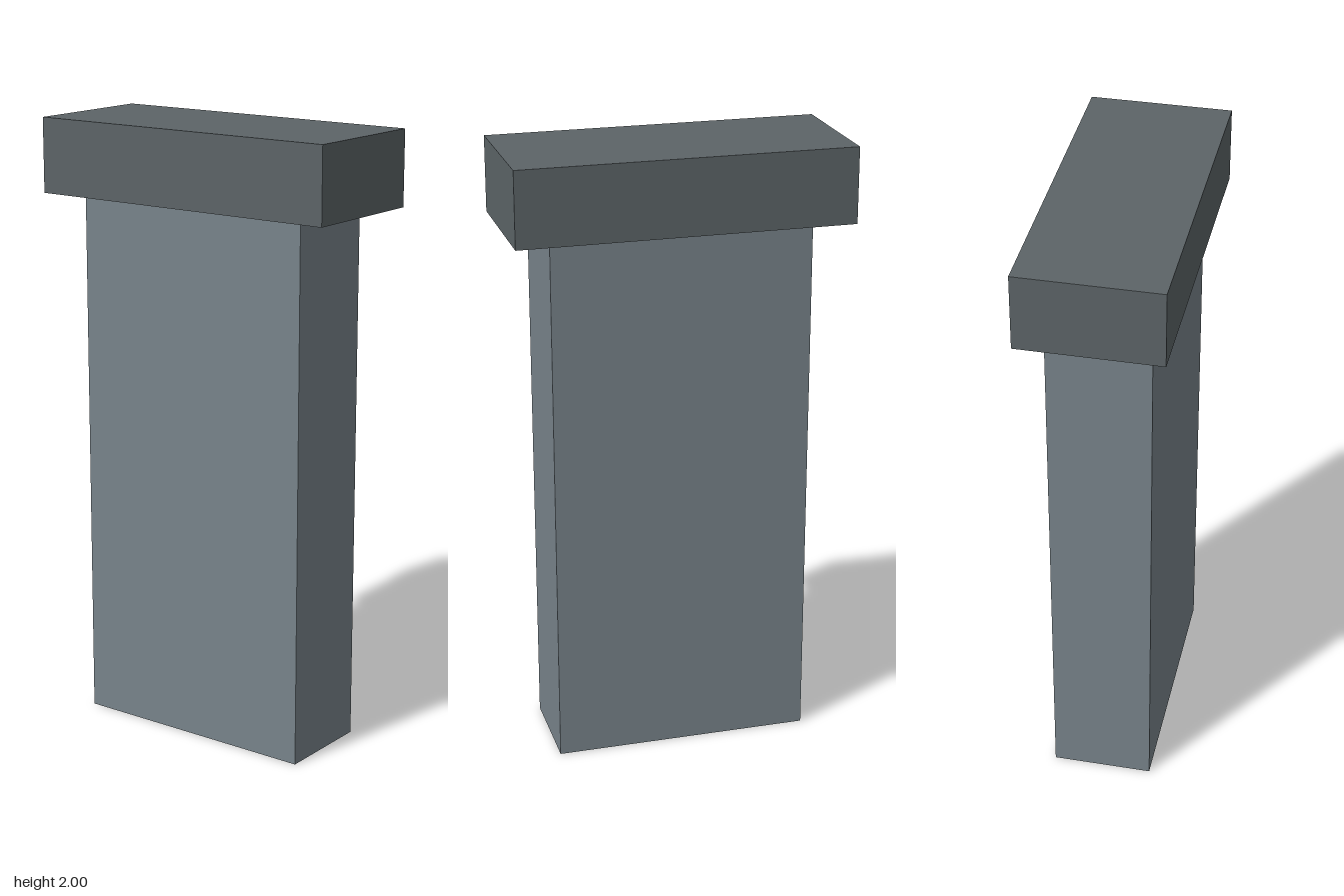
import * as THREE from 'three';

const CAP_BASE = 1.757;

function addPart(group, name, geometry, color, x, y, z) {
  const material = new THREE.MeshStandardMaterial({ color, flatShading: true, side: THREE.DoubleSide });
  const mesh = new THREE.Mesh(geometry, material);
  mesh.name = name;
  mesh.position.set(x, y, z);
  group.add(mesh);
}

// Four upright walls, open at the top and bottom
function openBox(width, height, depth) {
  const walls = new THREE.CylinderGeometry(Math.SQRT1_2, Math.SQRT1_2, height, 4, 1, true, Math.PI / 4)
    .scale(width, 1, depth)
    .toNonIndexed();
  walls.computeVertexNormals();
  return walls;
}

export function createModel() {
  const model = new THREE.Group();
  model.name = 'pillar';

  // Hollow shaft, open underneath
  addPart(model, 'shaft', openBox(0.835, CAP_BASE, 0.323), 0x78838a, 0.002, CAP_BASE / 2, 0.002);

  // Solid overhanging cap
  const capHeight = 2 - CAP_BASE;
  addPart(model, 'cap', new THREE.BoxGeometry(1.074, capHeight, 0.45), 0x5c6467, 0, CAP_BASE + capHeight / 2, 0);

  return model;
}
